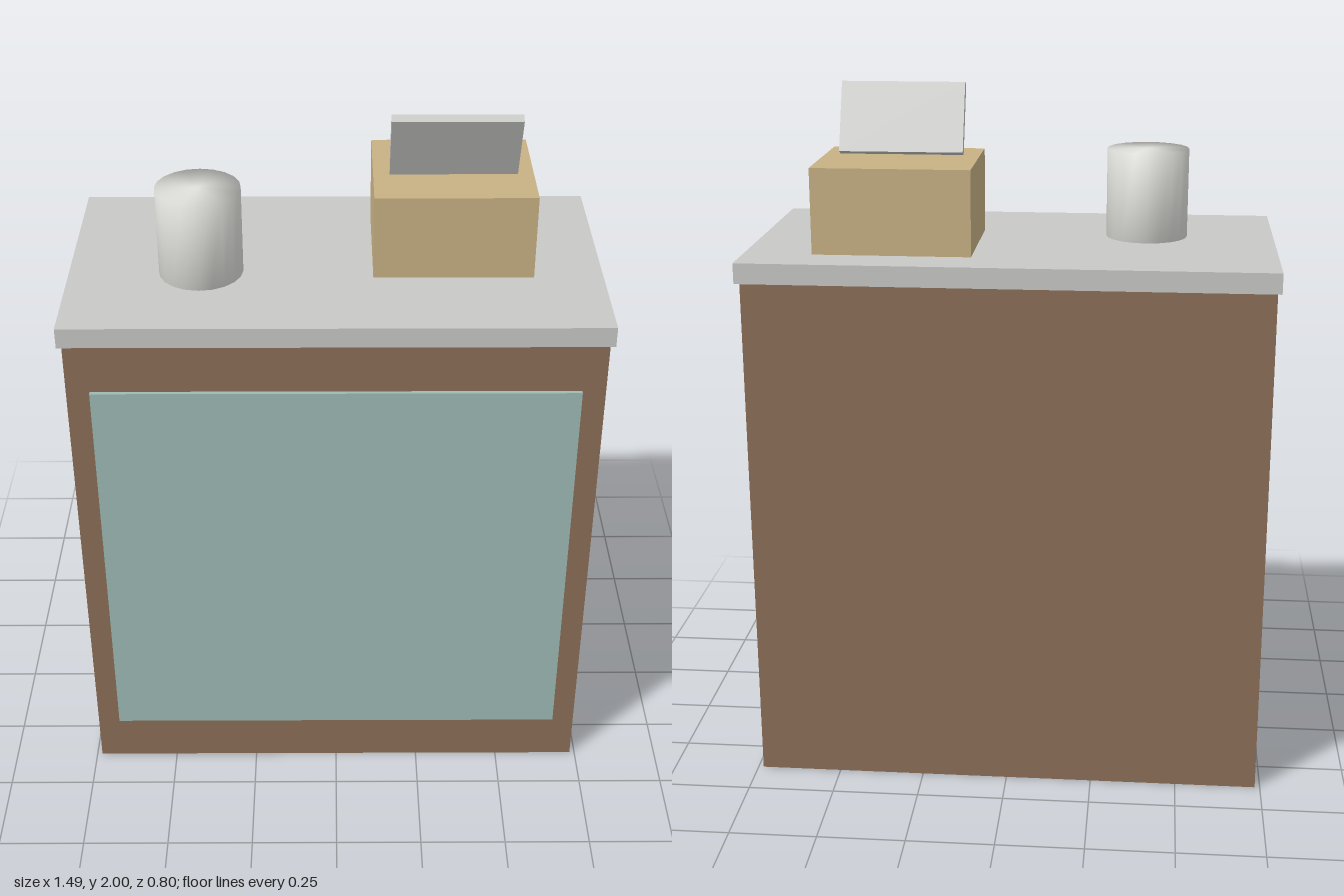
import * as THREE from 'three';
import { mergeVertices } from 'three/addons/utils/BufferGeometryUtils.js';

const material = (name, color) => {
  const m = new THREE.MeshStandardMaterial({ color });
  m.name = name;
  return m;
};

export function createModel() {
  const group = new THREE.Group();
  const wood = material('brown wood', 0x8b7058);
  const grey = material('light grey', 0xc8c8c6);
  const teal = material('pale teal', 0x9fbbb6);
  const tan = material('tan', 0xc8b285);
  const white = material('off white', 0xe2e2de);

  const add = (name, geometry, mat, x, y, z) => {
    const mesh = new THREE.Mesh(geometry, mat);
    mesh.name = name;
    mesh.position.set(x, y, z);
    group.add(mesh);
    return mesh;
  };
  const box = (name, mat, w, h, d, x, y, z) =>
    add(name, new THREE.BoxGeometry(w, h, d), mat, x, y, z);

  // Counter: cabinet, inset front panel and overhanging top
  box('cabinet', wood, 1.47, 1.497, 0.75, 0, 0.7485, 0);
  box('frontPanel', teal, 1.34, 1.194, 0.024, 0, 0.747, 0.375);
  box('countertop', grey, 1.49, 0.058, 0.8, 0, 1.526, 0);

  // Register with a tilted screen
  box('registerBase', tan, 0.447, 0.242, 0.388, 0.328, 1.676, -0.077);
  box('registerScreen', grey, 0.356, 0.206, 0.027, 0.328, 1.9, -0.002).rotation.x = 0.4;

  // Canister, with its normals smoothed across the rims
  let can = new THREE.CylinderGeometry(0.118, 0.118, 0.256, 20);
  can.deleteAttribute('uv');
  can.deleteAttribute('normal');
  can = mergeVertices(can);
  can.computeVertexNormals();
  add('canister', can, white, -0.376, 1.683, 0.073);

  return group;
}
